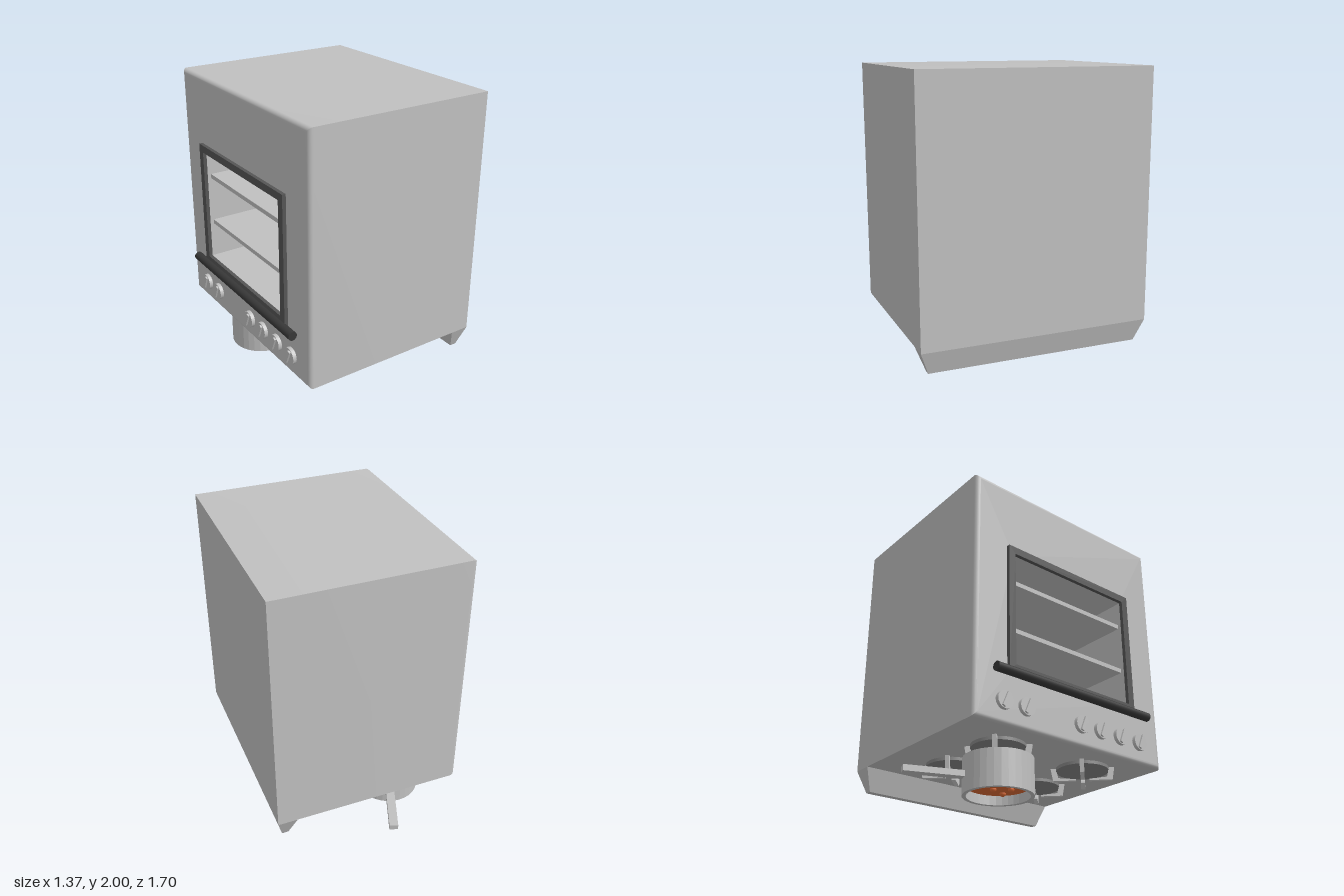
import * as THREE from 'three';
import { toCreasedNormals } from 'three/addons/utils/BufferGeometryUtils.js';

const mat = (name, color) => {
  const m = new THREE.MeshStandardMaterial({ color });
  m.name = name;
  return m;
};

// Joins four-cornered rings of [x, y, z] points and closes the last ring
function loft(rings) {
  const pos = [];
  const tri = (...pts) => pts.forEach((p) => pos.push(...p));
  for (let k = 0; k + 1 < rings.length; k++) {
    const a = rings[k], b = rings[k + 1];
    for (let i = 0; i < 4; i++) {
      const j = (i + 1) % 4;
      tri(a[i], a[j], b[j]);
      tri(a[i], b[j], b[i]);
    }
  }
  const e = rings[rings.length - 1];
  tri(e[0], e[1], e[2]);
  tri(e[0], e[2], e[3]);
  const g = new THREE.BufferGeometry();
  g.setAttribute('position', new THREE.Float32BufferAttribute(pos, 3));
  return toCreasedNormals(g, 0.5);
}

// Rectangular plate outline (z, y) with a rectangular opening
function holedShape([z0, z1, y0, y1], [a0, a1, b0, b1]) {
  const rect = (l, r, b, t) =>
    [[l, b], [r, b], [r, t], [l, t]].map(([x, y]) => new THREE.Vector2(x, y));
  const s = new THREE.Shape(rect(z0, z1, y0, y1));
  s.holes.push(new THREE.Path(rect(a0, a1, b0, b1).reverse()));
  return s;
}

export function createModel() {
  const model = new THREE.Group();
  model.name = 'upsideDownCooker';
  const steel = mat('steel', 0xc0c0c0);
  const bright = mat('brightMetal', 0xcfcfcf);
  const burnerGrey = mat('burnerGrey', 0x868686);
  const frameGrey = mat('frameGrey', 0x555555);
  const black = mat('handleBlack', 0x383838);
  const soupMat = mat('soup', 0xdc6a35);

  const add = (name, geo, material, x = 0, y = 0, z = 0, parent = model) => {
    const m = new THREE.Mesh(geo, material);
    m.name = name;
    m.position.set(x, y, z);
    parent.add(m);
    return m;
  };

  const X0 = -0.62, X1 = 0.68, Y0 = 0.32, Y1 = 2, Z0 = -0.715, Z1 = 0.845, R = 0.03;
  const open = [-0.42, 0.55, 0.71, 1.49];
  const ring = (x, z0, z1, y0, y1) => [[x, y1, z0], [x, y1, z1], [x, y0, z1], [x, y0, z0]];

  // Body shell with rounded edges around the door side
  const shell = [];
  for (let i = 0; i <= 6; i++) {
    const t = (i / 6) * Math.PI / 2;
    const d = R * (1 - Math.sin(t));
    shell.push(ring(X0 + R * (1 - Math.cos(t)), Z0 + d, Z1 - d, Y0 + d, Y1 - d));
  }
  shell.push(ring(X1, Z0, Z1, Y0, Y1));
  add('body', loft(shell), steel);
  const face = new THREE.ShapeGeometry(holedShape([Z0 + R, Z1 - R, Y0 + R, Y1 - R], open));
  add('doorFace', face.rotateY(-Math.PI / 2), steel, X0);

  // Oven interior and shelves
  add('ovenInterior', loft([ring(X0, ...open).reverse(), ring(0.4, ...open).reverse()]), steel);
  for (const y of [0.97, 1.31]) {
    add('ovenShelf', new THREE.BoxGeometry(0.99, 0.03, 0.97), steel, -0.1, y, 0.065);
  }

  // Door frame and handle
  const frame = new THREE.ExtrudeGeometry(holedShape([-0.47, 0.6, 0.66, 1.54], open),
    { depth: 0.025, bevelEnabled: false });
  add('doorFrame', frame.rotateY(-Math.PI / 2), frameGrey, X0);
  add('doorHandle', new THREE.CylinderGeometry(0.03, 0.03, 1.29, 20).rotateX(Math.PI / 2),
    black, -0.655, 0.65, 0.065);

  // Knobs, each with a slanted grip
  for (const z of [-0.5, -0.33, 0.12, 0.29, 0.465, 0.64]) {
    const knob = new THREE.Group();
    knob.name = 'knob';
    knob.position.set(X0, 0.463, z);
    add('knobDial', new THREE.CylinderGeometry(0.057, 0.057, 0.025, 20).rotateZ(Math.PI / 2),
      steel, -0.0125, 0, 0, knob);
    const grip = add('knobGrip', new THREE.BoxGeometry(0.015, 0.1, 0.022), steel, -0.03, 0, 0, knob);
    grip.rotation.x = 0.4;
    model.add(knob);
  }

  // Tapered backsplash
  const splash = (y, x0, x1, z0, z1) => [[x1, y, z0], [x1, y, z1], [x0, y, z1], [x0, y, z0]];
  add('backsplash', loft([splash(0.32, 0.545, X1, Z0, Z1), splash(0.17, 0.595, 0.64, -0.655, 0.79)]), steel);

  // Burners with four diagonal prongs
  const prong = new THREE.ExtrudeGeometry(new THREE.Shape([
    [0.21, 0.32], [0.195, 0.235], [0.045, 0.235], [0.045, 0.245], [0.16, 0.255], [0.175, 0.32],
  ].map(([x, y]) => new THREE.Vector2(x, y))), { depth: 0.028, bevelEnabled: false });
  prong.translate(0, 0, -0.014);
  for (const x of [-0.31, 0.175]) {
    for (const z of [-0.29, 0.42]) {
      const burner = new THREE.Group();
      burner.name = 'burner';
      burner.position.set(x, 0, z);
      add('burnerDisc', new THREE.CylinderGeometry(0.175, 0.175, 0.022, 32), burnerGrey, 0, 0.31, 0, burner);
      for (let k = 0; k < 4; k++) {
        add('burnerProng', prong, bright, 0, 0, 0, burner).rotation.y = Math.PI / 4 + k * Math.PI / 2;
      }
      model.add(burner);
    }
  }

  // Inverted pot with soup and a handle
  const pot = new THREE.Group();
  pot.name = 'pot';
  pot.position.set(-0.31, 0, -0.29);
  model.add(pot);
  const profile = [[0.195, 0.08], [0.195, 0], [0.22, 0], [0.22, 0.235], [0, 0.235]];
  const potGeo = new THREE.LatheGeometry(profile.map(([r, y]) => new THREE.Vector2(r, y)), 32);
  add('potBody', toCreasedNormals(potGeo, 0.1), steel, 0, 0, 0, pot);
  add('soup', new THREE.CircleGeometry(0.197, 32).rotateX(Math.PI / 2), soupMat, 0, 0.06, 0, pot);
  for (const [x, z] of [[0.089, 0.105], [0.05, 0], [-0.026, -0.098], [-0.015, 0.087], [-0.071, 0.025]]) {
    add('soupBall', new THREE.SphereGeometry(0.02, 12, 8), soupMat, x, 0.057, z, pot);
  }
  const arm = new THREE.Group();
  arm.name = 'potHandle';
  arm.rotation.y = Math.atan2(0.935, 0.355);
  add('potHandleBar', new THREE.BoxGeometry(0.38, 0.038, 0.06), steel, 0.398, 0.115, 0, arm);
  pot.add(arm);

  return model;
}
